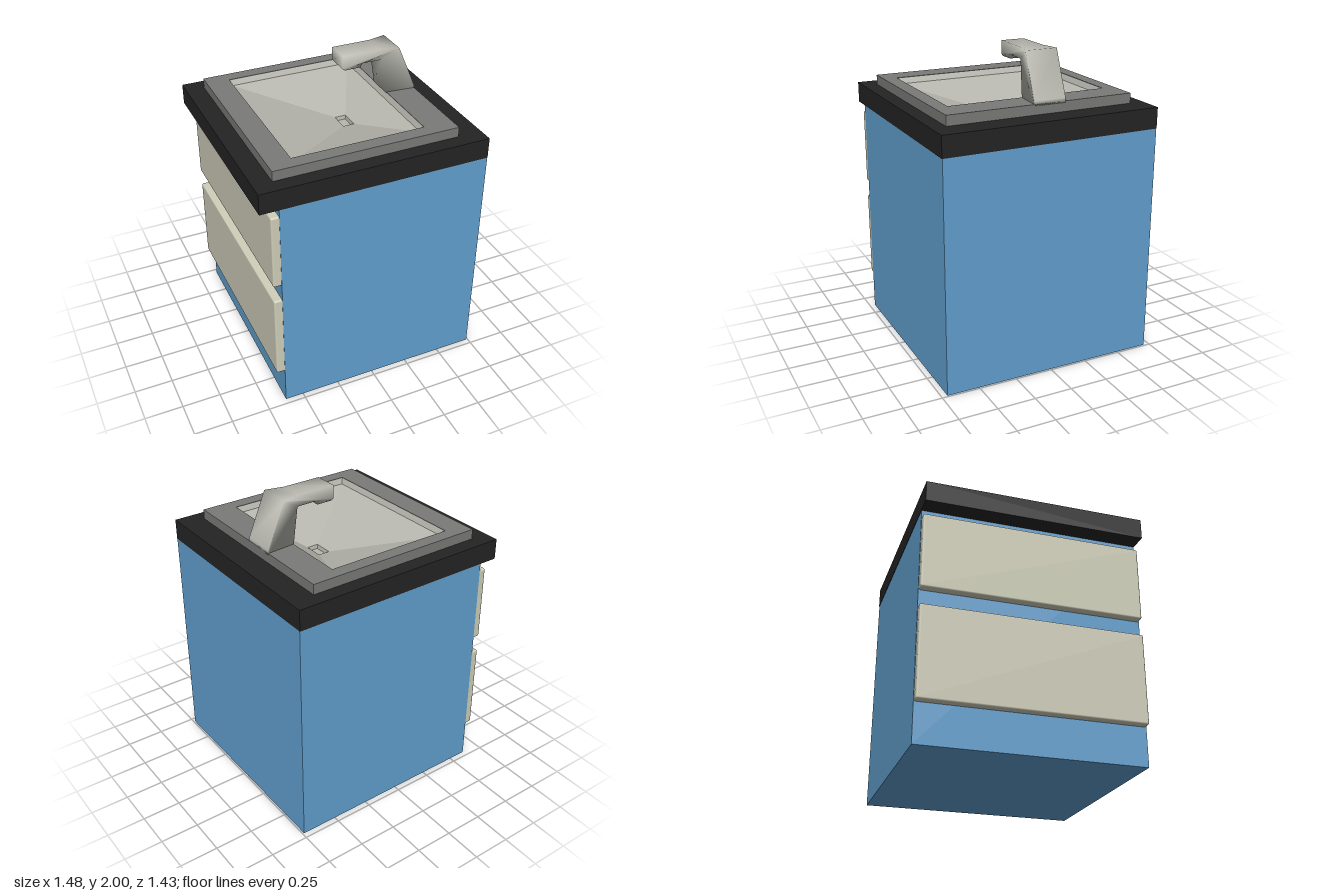
import * as THREE from 'three';
import { mergeVertices } from 'three/addons/utils/BufferGeometryUtils.js';
import { RoundedBoxGeometry } from 'three/addons/geometries/RoundedBoxGeometry.js';

const material = (name, color) => {
  const m = new THREE.MeshStandardMaterial({ color });
  m.name = name;
  return m;
};

// Rectangle corners, counter-clockwise when seen from above.
const corners = ([x0, x1, z0, z1]) => [[x0, z0], [x0, z1], [x1, z1], [x1, z0]];

// Flat slab between two heights, with a rectangular opening.
function frame(outer, opening, y0, y1) {
  const points = (r) => corners(r).map(([x, z]) => new THREE.Vector2(x, -z));
  const shape = new THREE.Shape(points(outer));
  shape.holes.push(new THREE.Path(points(opening)));
  return new THREE.ExtrudeGeometry(shape, { depth: y1 - y0, bevelEnabled: false })
    .rotateX(-Math.PI / 2)
    .translate(0, y0, 0);
}

// Funnel of rectangular rings, from the top ring down, closed at the bottom.
function funnel(rings) {
  const pos = [];
  const loops = rings.map(([y, ...r]) => corners(r).map(([x, z]) => [x, y, z]));
  const quad = (a, b, c, d) => pos.push(...a, ...b, ...c, ...a, ...c, ...d);
  for (let k = 0; k < loops.length - 1; k++) {
    for (let i = 0; i < 4; i++) {
      const j = (i + 1) % 4;
      quad(loops[k][i], loops[k][j], loops[k + 1][j], loops[k + 1][i]);
    }
  }
  quad(...loops[loops.length - 1]);
  const g = new THREE.BufferGeometry();
  g.setAttribute('position', new THREE.Float32BufferAttribute(pos, 3));
  g.computeVertexNormals();
  return g;
}

// Side profile of the tap, swept across z and narrowed towards the spout.
function faucetGeometry() {
  const profile = [
    [0.39, 1.69], [0.58, 1.69], [0.58, 1.72], [0.46, 2], [0.34, 2], [0.085, 2],
    [0.085, 1.915], [0.1, 1.905], [0.205, 1.905], [0.22, 1.93], [0.35, 1.93],
  ];
  const shape = new THREE.Shape(profile.map(([x, y]) => new THREE.Vector2(x, y)));
  let g = new THREE.ExtrudeGeometry(shape, { depth: 2, bevelEnabled: false }).translate(0, 0, -1);
  const p = g.attributes.position;
  for (let i = 0; i < p.count; i++) {
    const half = THREE.MathUtils.mapLinear(THREE.MathUtils.clamp(p.getX(i), 0.34, 0.46), 0.34, 0.46, 0.078, 0.106);
    p.setZ(i, p.getZ(i) * half - 0.05);
  }
  g.deleteAttribute('normal');
  g.deleteAttribute('uv');
  g = mergeVertices(g);
  g.computeVertexNormals();
  return g;
}

export function createModel() {
  const model = new THREE.Group();
  model.name = 'sinkCabinet';
  const blue = material('cabinet blue', 0x62a0cf);
  const cream = material('drawer cream', 0xd0cfba);
  const black = material('countertop black', 0x242424);
  const grey = material('rim grey', 0x7a7a78);
  const silver = material('metal silver', 0xb8b8b0);
  silver.side = THREE.DoubleSide;

  const add = (name, geometry, mat, x = 0, y = 0, z = 0) => {
    const mesh = new THREE.Mesh(geometry, mat);
    mesh.name = name;
    mesh.position.set(x, y, z);
    model.add(mesh);
  };

  // Cabinet with two drawer fronts on its -x side
  add('cabinet', new THREE.BoxGeometry(1.36, 1.5, 1.425), blue, 0.06, 0.75);
  for (const [name, y0, y1] of [['lowerDrawer', 0.25, 0.84], ['upperDrawer', 0.95, 1.45]]) {
    add(name, new RoundedBoxGeometry(0.07, y1 - y0, 1.42, 2, 0.012), cream, -0.637, (y0 + y1) / 2);
  }

  // Countertop and raised sink rim share one opening
  const opening = [-0.47, 0.39, -0.535, 0.53];
  add('countertop', frame([-0.74, 0.74, -0.715, 0.715], opening, 1.5, 1.635), black);
  add('sinkRim', frame([-0.62, 0.58, -0.62, 0.62], opening, 1.635, 1.7), grey);

  // Basin sloping to a small square drain
  add('basin', funnel([
    [1.695, ...opening],
    [1.66, -0.455, 0.375, -0.52, 0.515],
    [1.53, 0.08, 0.155, -0.07, 0.055],
    [1.505, 0.085, 0.15, -0.065, 0.05],
  ]), silver);

  add('faucet', faucetGeometry(), silver);
  return model;
}
